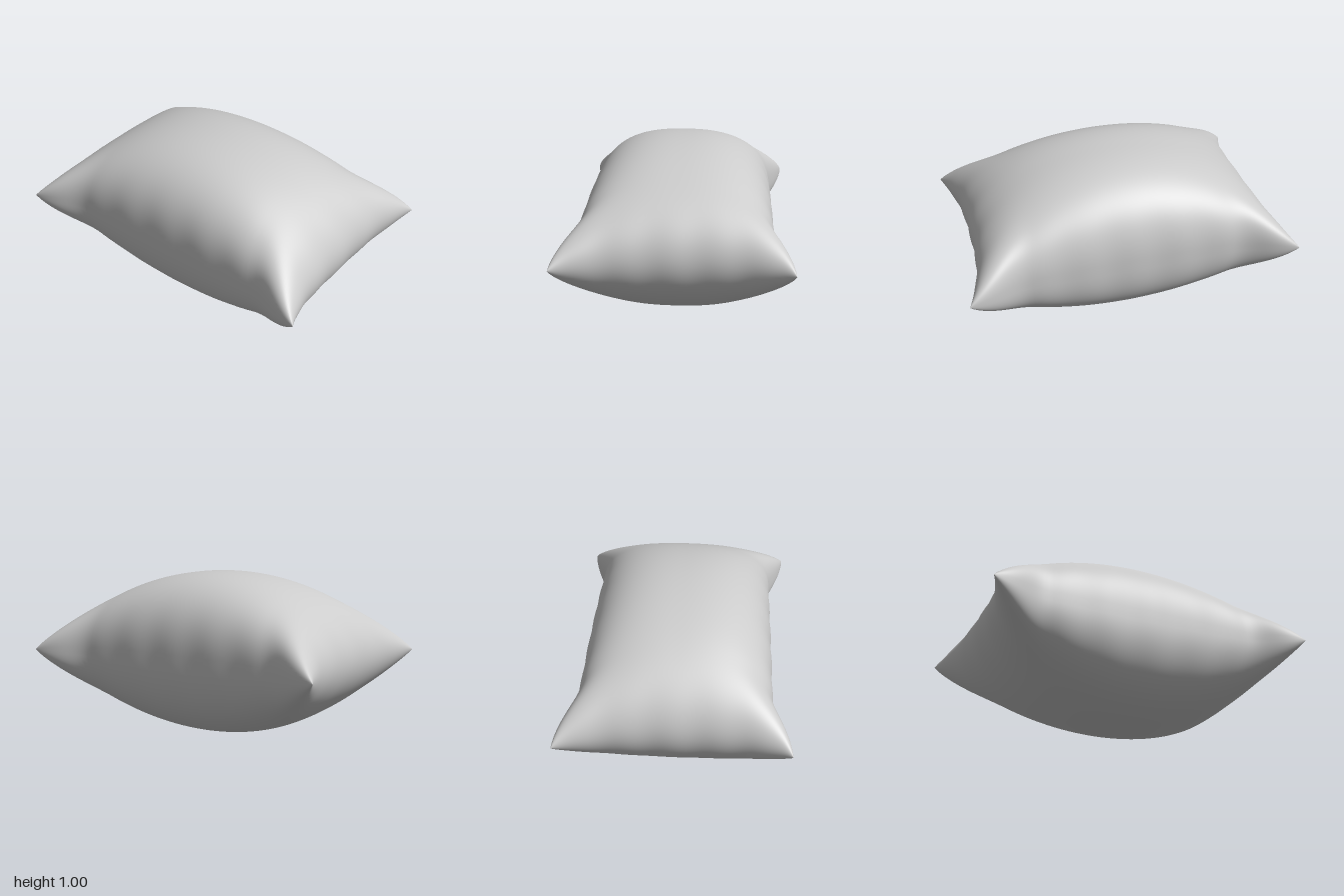
import * as THREE from 'three';
import { mergeVertices } from 'three/addons/utils/BufferGeometryUtils.js';

const N = 80;

// Seam outline: sides bow inwards, corners flare out into ears
const halfWidth = v => 0.9 + 0.1 * Math.abs(v) ** 3;
const halfDepth = u => 0.565 + 0.105 * THREE.MathUtils.smoothstep(Math.abs(u), 0.62, 1);

// A point of the cushion cover; side is 1 for the top sheet, -1 for the bottom
function coverPoint(u, v, side) {
  const au = Math.abs(u), av = Math.abs(v);
  const fullness = Math.sqrt(Math.max(0, 1 - au ** 2)) * Math.max(0, 1 - av ** 2.5) ** 0.4;
  // Soft puckers gathered along the seams
  const puckerZ = 0.003 * Math.cos(u * 22) * av ** 8 * (1 - au ** 4);
  const puckerX = 0.003 * Math.cos(v * 16) * au ** 8 * (1 - av ** 4);
  return [
    u * (halfWidth(v) + puckerX),
    0.5 + side * 0.5 * fullness,
    v * (halfDepth(u) + puckerZ)
  ];
}

function cushionGeometry() {
  const positions = [], indices = [];
  // Rows crowd towards the seam, where the cover curves most
  const param = i => Math.sin((i / N - 0.5) * Math.PI);
  for (const side of [1, -1]) {
    const base = positions.length / 3;
    for (let i = 0; i <= N; i++) {
      for (let j = 0; j <= N; j++) positions.push(...coverPoint(param(i), param(j), side));
    }
    for (let i = 0; i < N; i++) {
      for (let j = 0; j < N; j++) {
        const a = base + i * (N + 1) + j, b = a + 1, c = a + N + 1, d = c + 1;
        if (side > 0) indices.push(a, b, c, b, d, c);
        else indices.push(a, c, b, b, c, d);
      }
    }
  }
  const geometry = new THREE.BufferGeometry();
  geometry.setAttribute('position', new THREE.Float32BufferAttribute(positions, 3));
  geometry.setIndex(indices);
  // Join both sheets at the seam so it shades smoothly
  const welded = mergeVertices(geometry, 1e-5);
  welded.computeVertexNormals();
  return welded;
}

export function createModel() {
  const group = new THREE.Group();
  group.name = 'pillow';
  const cushion = new THREE.Mesh(
    cushionGeometry(),
    new THREE.MeshStandardMaterial({ color: 0xcccccc })
  );
  cushion.name = 'cushion';
  group.add(cushion);
  return group;
}
